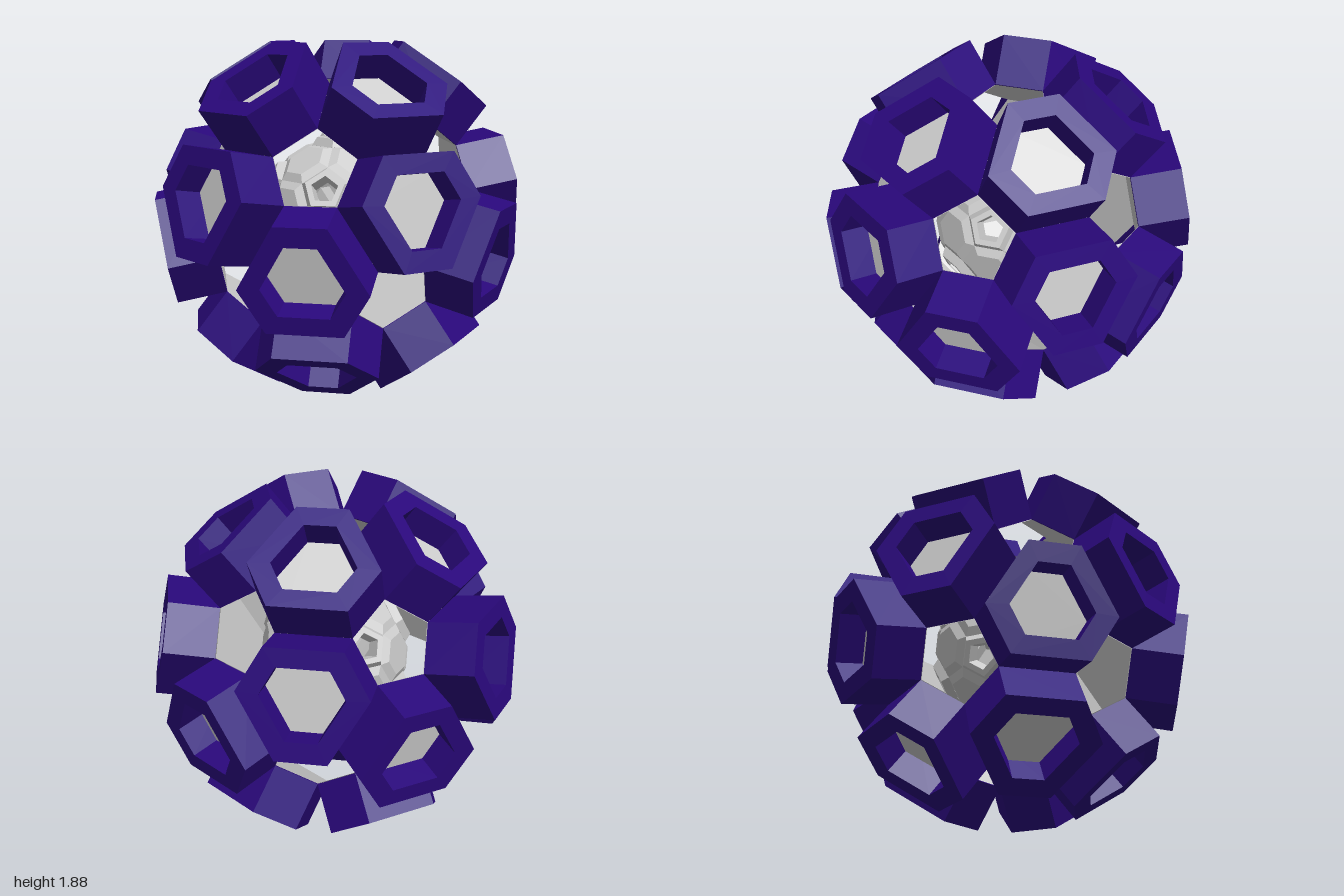
import * as THREE from 'three';

const rad = THREE.MathUtils.degToRad;

// Six-sided outline whose edges alternate between two distances from the centre;
// the top edge (towards +y) uses the first one
function hexagon(wide, narrow, Type = THREE.Shape) {
  const pts = [];
  for (let k = 0; k < 6; k++) {
    const a = Math.PI / 2 + (k * Math.PI) / 3;
    const [d, next] = k % 2 ? [narrow, wide] : [wide, narrow];
    const s = (next - d * 0.5) / Math.sin(Math.PI / 3);
    pts.push(new THREE.Vector2(
      d * Math.cos(a) - s * Math.sin(a), d * Math.sin(a) + s * Math.cos(a)));
  }
  return new Type(pts);
}

// Faceted ring or frustum around +z from a profile of [radius, distance]
function facetedLathe(profile, sides, turn) {
  const pts = profile.map(([r, d]) => new THREE.Vector2(r, d));
  const geo = new THREE.LatheGeometry(pts, sides).toNonIndexed();
  geo.rotateX(Math.PI / 2);
  geo.rotateZ(turn);
  geo.computeVertexNormals();
  return geo;
}

export function createModel() {
  const model = new THREE.Group();
  model.name = 'nestedHexagonBall';
  const ball = new THREE.Group();
  ball.name = 'ball';
  ball.position.y = 0.939;
  model.add(ball);

  const purple = new THREE.MeshStandardMaterial({ color: 0x2a087c, flatShading: true });
  const grey = new THREE.MeshStandardMaterial({ color: 0xcccccc, flatShading: true, side: THREE.DoubleSide });
  const white = new THREE.MeshStandardMaterial({ color: 0xffffff, flatShading: true, side: THREE.DoubleSide });

  // Group whose +z points outward along a latitude and azimuth (degrees)
  function station(name, lat, az) {
    const g = new THREE.Group();
    g.name = name;
    g.rotation.set(-rad(lat), rad(az), 0, 'YXZ');
    ball.add(g);
    return g;
  }
  function addPart(parent, name, geometry, material) {
    const m = new THREE.Mesh(geometry, material);
    m.name = name;
    parent.add(m);
    return m;
  }

  // Hollow hexagonal block with a recessed floor and a plate closing its inner end
  const inner = 0.686, floor = 0.8, outer = 0.953;
  const wide = 0.298, narrow = 0.262, holeWide = 0.195, holeNarrow = 0.167;
  const ring = hexagon(wide, narrow);
  ring.holes.push(hexagon(holeWide, holeNarrow, THREE.Path));
  const blockGeo = new THREE.ExtrudeGeometry(ring, { depth: outer - inner, bevelEnabled: false });
  blockGeo.translate(0, 0, inner);
  const floorGeo = new THREE.ShapeGeometry(hexagon(holeWide, holeNarrow));
  floorGeo.translate(0, 0, floor);
  const plateGeo = new THREE.ShapeGeometry(hexagon(wide, narrow));
  plateGeo.translate(0, 0, inner - 0.003);
  const coreHexGeo = facetedLathe([[0.161, 0.365], [0.115, 0.393], [0, 0.393]], 6, Math.PI / 6);

  const low = -22, shifted = 14; // azimuths of the two interleaved sets
  // Latitude, azimuth, and whether the wide edge points down
  const rows = [
    [52.62, low, false], [10.81, low, true], [-10.81, shifted, false], [-52.62, shifted, true],
  ];
  for (let k = 0; k < 5; k++) {
    for (const [lat, az, flipped] of rows) {
      const g = station('hexagonCell', lat, az + 72 * k);
      const parts = [
        addPart(g, 'hexagonBlock', blockGeo, purple),
        addPart(g, 'recessFloor', floorGeo, grey),
        addPart(g, 'innerPlate', plateGeo, grey),
      ];
      if (flipped) parts.forEach((p) => { p.rotation.z = Math.PI; });
      addPart(g, 'coreHexagon', coreHexGeo, white);
    }
  }

  // Open pentagonal frames of the core, facing the gaps of the shell
  const frame = [[0.137, 0.375], [0.11, 0.42], [0.075, 0.42], [0.062, 0.34]];
  const frameDown = facetedLathe(frame, 5, 0);
  const frameUp = facetedLathe(frame, 5, Math.PI);
  addPart(station('topPentagon', 90, shifted), 'coreFrame', frameDown, white);
  addPart(station('bottomPentagon', -90, low), 'coreFrame', frameUp, white);
  for (let k = 0; k < 5; k++) {
    addPart(station('upperPentagon', 26.57, shifted + 72 * k), 'coreFrame', frameUp, white);
    addPart(station('lowerPentagon', -26.57, low + 72 * k), 'coreFrame', frameDown, white);
  }
  return model;
}
